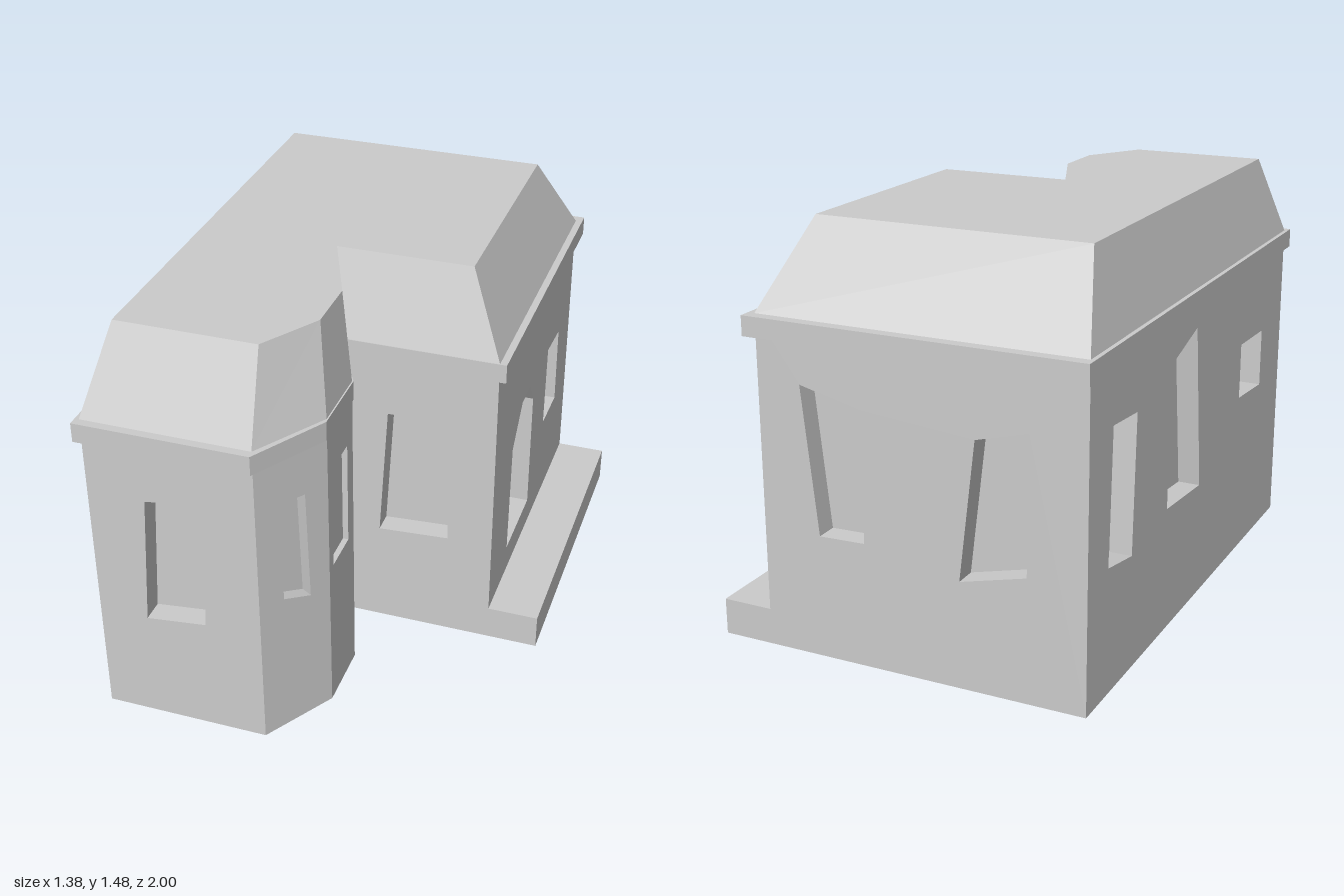
import * as THREE from 'three';

const mat = new THREE.MeshStandardMaterial({ color: 0xcccccc, flatShading: true });

// Outlines as [x, z], counter-clockwise seen from above, same corner order
const WALLS = [[-0.675, 0.97], [-0.085, 0.97], [0.07, 0.72], [0.07, 0.475],
  [-0.06, 0.215], [0.505, 0.215], [0.505, -0.96], [-0.675, -0.96]];
const TRIM = [[-0.69, 1], [-0.08, 1], [0.075, 0.737], [0.075, 0.475],
  [-0.057, 0.218], [0.53, 0.218], [0.53, -1], [-0.69, -1]];
const ROOF = [[-0.6, 0.83], [-0.105, 0.83], [0.02, 0.625], [0.02, 0.42],
  [-0.105, 0.12], [0.38, 0.12], [0.38, -0.77], [-0.6, -0.77]];
const WALL_TOP = 1.18, TRIM_BASE = 1.11, ROOF_TOP = 1.48;

// Openings per wall: axis (0 = x, 1 = z) of the first coordinate, recess depth, [coordinate, y] corners
const OPENINGS = [
  { wall: 0, axis: 0, depth: 0.08, name: 'bayFrontWindow', pts: [[-0.5, 0.415], [-0.285, 0.44], [-0.255, 0.94], [-0.47, 0.905]] },
  { wall: 1, axis: 1, depth: 0.045, name: 'bayAngledWindow', pts: [[0.885, 0.55], [0.79, 0.51], [0.8, 0.93], [0.88, 0.935]] },
  { wall: 2, axis: 1, depth: 0.02, name: 'baySideWindow', pts: [[0.68, 0.57], [0.53, 0.57], [0.53, 0.96], [0.68, 0.96]] },
  { wall: 3, axis: 1, depth: 0.06, name: 'notchWindow', pts: [[0.42, 0.48], [0.275, 0.48], [0.275, 0.985], [0.42, 0.985]] },
  { wall: 4, axis: 0, depth: 0.08, name: 'wingFrontWindow', pts: [[0.08, 0.4], [0.34, 0.415], [0.335, 0.905], [0.11, 0.905]] },
  { wall: 5, axis: 1, depth: 0.08, name: 'doorway', pts: [[-0.035, 0.235], [-0.36, 0.235], [-0.355, 0.71], [-0.29, 0.8], [-0.175, 0.8], [-0.05, 0.67]] },
  { wall: 5, axis: 1, depth: 0.08, name: 'sideWindow', pts: [[-0.57, 0.475], [-0.775, 0.47], [-0.765, 0.785], [-0.58, 0.8]] },
  { wall: 6, axis: 0, depth: 0.08, name: 'backWindow', pts: [[0.29, 0.44], [0.12, 0.445], [0.12, 0.906], [0.345, 0.96]] },
  { wall: 6, axis: 0, depth: 0.08, name: 'backWindow', pts: [[-0.23, 0.38], [-0.468, 0.44], [-0.475, 0.92], [-0.29, 0.87]] },
  { wall: 7, axis: 1, depth: 0.08, name: 'leftWindow', pts: [[-0.795, 0.447], [-0.598, 0.41], [-0.576, 0.9], [-0.806, 0.92]] },
  { wall: 7, axis: 1, depth: 0.08, name: 'leftWindow', pts: [[-0.28, 0.456], [0.049, 0.427], [-0.028, 1.037], [-0.27, 0.97]] },
  { wall: 7, axis: 1, depth: 0.08, name: 'leftWindow', pts: [[0.476, 0.63], [0.729, 0.61], [0.729, 0.83], [0.465, 0.84]] },
];

const vec = (pts) => pts.map(([a, b]) => new THREE.Vector2(a, b));
const plan = (pts) => new THREE.Shape(vec(pts.map(([x, z]) => [x, -z])));

function addMesh(parent, geometry, name) {
  const mesh = new THREE.Mesh(geometry, mat);
  mesh.name = name;
  parent.add(mesh);
  return mesh;
}

// Closed band of quads between two matching loops of [x, y, z]
function band(a, b) {
  const pos = [];
  a.forEach((p, i) => {
    const j = (i + 1) % a.length;
    pos.push(...p, ...a[j], ...b[j], ...p, ...b[j], ...b[i]);
  });
  const g = new THREE.BufferGeometry();
  g.setAttribute('position', new THREE.Float32BufferAttribute(pos, 3));
  g.computeVertexNormals();
  return g;
}

// Wall panel with recessed openings, built in its own plane and turned into place
function makeWall(index) {
  const a = WALLS[index], b = WALLS[(index + 1) % WALLS.length];
  const length = Math.hypot(b[0] - a[0], b[1] - a[1]);
  const wall = new THREE.Group();
  wall.name = 'wall';
  const panel = new THREE.Shape(vec([[0, 0], [length, 0], [length, WALL_TOP], [0, WALL_TOP]]));

  for (const { axis, depth, name, pts } of OPENINGS.filter((o) => o.wall === index)) {
    const local = pts.map(([h, y]) => [(h - a[axis]) / (b[axis] - a[axis]) * length, y]);
    panel.holes.push(new THREE.Path(vec(local)));
    const recess = new THREE.Group();
    recess.name = name;
    addMesh(recess, band(local.map(([u, y]) => [u, y, 0]), local.map(([u, y]) => [u, y, -depth])), 'reveal');
    addMesh(recess, new THREE.ShapeGeometry(new THREE.Shape(vec(local))), 'pane').position.z = -depth;
    wall.add(recess);
  }

  addMesh(wall, new THREE.ShapeGeometry(panel), 'wallPanel');
  wall.position.set(a[0], 0, a[1]);
  wall.rotation.y = Math.atan2(a[1] - b[1], b[0] - a[0]);
  return wall;
}

export function createModel() {
  const house = new THREE.Group();
  house.name = 'house';

  // Walls and underside
  WALLS.forEach((_, i) => house.add(makeWall(i)));
  const floor = new THREE.ShapeGeometry(new THREE.Shape(vec(WALLS)));
  addMesh(house, floor.rotateX(Math.PI / 2), 'underside');

  // Flat moulding under the roof
  const trim = new THREE.ExtrudeGeometry(plan(TRIM), { depth: WALL_TOP - TRIM_BASE, bevelEnabled: false });
  addMesh(house, trim.rotateX(-Math.PI / 2), 'eavesTrim').position.y = TRIM_BASE;

  // Sloped roof sides and flat top
  const slopes = band(WALLS.map(([x, z]) => [x, WALL_TOP, z]), ROOF.map(([x, z]) => [x, ROOF_TOP, z]));
  addMesh(house, slopes, 'roofSlopes');
  const deck = new THREE.ShapeGeometry(plan(ROOF)).rotateX(-Math.PI / 2);
  addMesh(house, deck, 'roofTop').position.y = ROOF_TOP;

  // Long step beside the doorway
  const step = addMesh(house, new THREE.BoxGeometry(0.185, 0.13, 1.175), 'step');
  step.position.set(0.5975, 0.065, -0.3725);

  return house;
}
